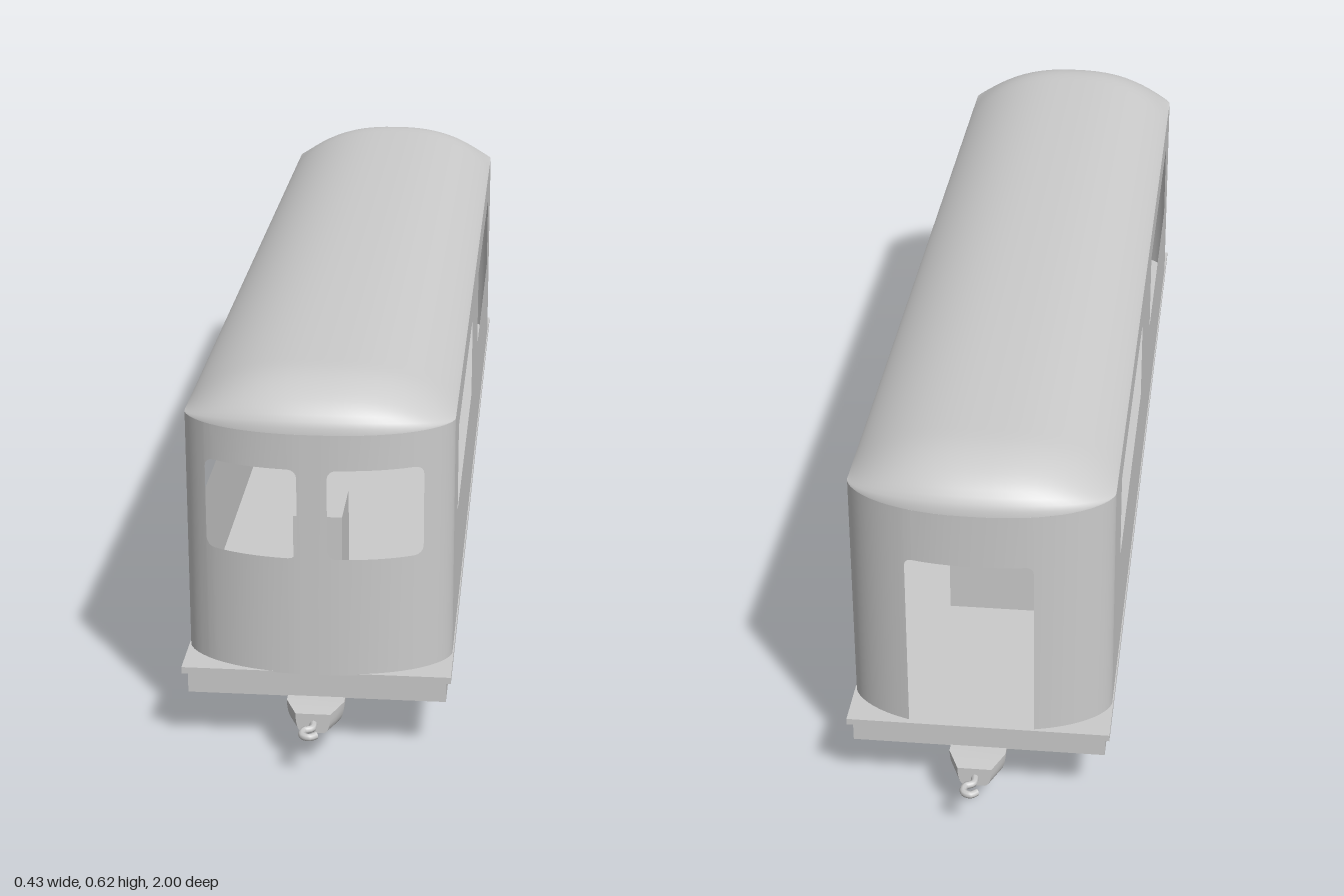
import * as THREE from 'three';
import { mergeVertices, toCreasedNormals } from 'three/addons/utils/BufferGeometryUtils.js';
import { ParametricGeometry } from 'three/addons/geometries/ParametricGeometry.js';

const W = 0.213;        // half width of the body
const WALL_BOTTOM = 0.143, WALL_TOP = 0.55;
const grey = new THREE.MeshStandardMaterial({ color: 0xcccccc });
const thin = new THREE.MeshStandardMaterial({ color: 0xcccccc, side: THREE.DoubleSide });

// bowed end of the floor plan: z of the end wall at a given x
const endZ = (x) => 0.82 + 0.092 * Math.pow(Math.max(0, 1 - Math.pow(Math.abs(x) / W, 2.3)), 0.6);

function add(parent, name, geometry, x = 0, y = 0, z = 0, material = grey) {
  const mesh = new THREE.Mesh(geometry, material);
  mesh.name = name;
  mesh.position.set(x, y, z);
  parent.add(mesh);
  return mesh;
}

function box(parent, name, x0, x1, y0, y1, z0, z1) {
  return add(parent, name, new THREE.BoxGeometry(x1 - x0, y1 - y0, z1 - z0),
    (x0 + x1) / 2, (y0 + y1) / 2, (z0 + z1) / 2);
}

function polygon(points) {
  return new THREE.Shape(points.map(([x, y]) => new THREE.Vector2(x, y)));
}

// outline in (z, y), extruded along x and centred on x = 0
function acrossGeometry(shape, width) {
  const g = new THREE.ExtrudeGeometry(shape, { depth: width, bevelEnabled: false });
  return g.translate(0, 0, -width / 2).rotateY(-Math.PI / 2);
}

// upright wall along a plan line, with rounded openings {a, b, lo, hi, r}
function wallGeometry(at, stations, openings, flip) {
  const s = [...stations];
  for (const o of openings) {
    for (const t of [0, 0.08, 0.3, 0.6, 1]) s.push(o.a + o.r * t, o.b - o.r * t);
  }
  s.sort((p, q) => p - q);
  const pos = [];
  const quad = (p, q, p0, p1, q0, q1) => {
    if (p1 - p0 < 1e-5 && q1 - q0 < 1e-5) return;
    const A = [p[0], p0, p[1]], B = [q[0], q0, q[1]], C = [q[0], q1, q[1]], D = [p[0], p1, p[1]];
    pos.push(...(flip ? [B, A, D, B, D, C] : [A, B, C, A, C, D]).flat());
  };
  for (let i = 0; i + 1 < s.length; i++) {
    if (s[i + 1] - s[i] < 1e-6) continue;
    const mid = (s[i] + s[i + 1]) / 2, p = at(s[i]), q = at(s[i + 1]);
    const o = openings.find((h) => mid > h.a && mid < h.b);
    if (!o) { quad(p, q, WALL_BOTTOM, WALL_TOP, WALL_BOTTOM, WALL_TOP); continue; }
    const inset = (v) => {
      const k = Math.max(0, o.r - Math.min(v - o.a, o.b - v));
      return o.r - Math.sqrt(Math.max(0, o.r * o.r - k * k));
    };
    const c = inset(s[i]), d = inset(s[i + 1]);
    if (o.lo > WALL_BOTTOM) quad(p, q, WALL_BOTTOM, o.lo + c, WALL_BOTTOM, o.lo + d);
    quad(p, q, o.hi - c, WALL_TOP, o.hi - d, WALL_TOP);
  }
  const g = new THREE.BufferGeometry();
  g.setAttribute('position', new THREE.Float32BufferAttribute(pos, 3));
  const merged = mergeVertices(g, 1e-5);
  merged.computeVertexNormals();
  return merged;
}

function createBody() {
  const body = new THREE.Group();
  body.name = 'body';
  const across = Array.from({ length: 33 }, (_, i) => W * Math.sin((i / 16 - 1) * Math.PI / 2));
  const pane = { lo: 0.343, hi: 0.492 };
  const frontWindows = [{ a: -0.175, b: -0.027, r: 0.014, ...pane }, { a: 0.02, b: 0.168, r: 0.014, ...pane }];
  const rearDoor = [{ a: -0.092, b: 0.113, lo: WALL_BOTTOM, hi: 0.458, r: 0.012 }];
  const sideWindows = [{ a: -0.68, b: -0.13, r: 0.008, ...pane }, { a: 0.15, b: 0.7, r: 0.008, ...pane }];
  add(body, 'frontWall', wallGeometry((x) => [x, endZ(x)], across, frontWindows, false), 0, 0, 0, thin);
  add(body, 'rearWall', wallGeometry((x) => [x, -endZ(x)], across, rearDoor, true), 0, 0, 0, thin);
  for (const side of [1, -1]) {
    add(body, side > 0 ? 'leftWall' : 'rightWall',
      wallGeometry((z) => [side * W, z], [-0.82, 0.82], sideWindows, side > 0), 0, 0, 0, thin);
  }

  // arched roof, rounded down to the bowed ends
  const roof = new ParametricGeometry((u, v, target) => {
    const x = W * Math.sin((u - 0.5) * Math.PI);
    const z = -endZ(x) * Math.sin((v - 0.5) * Math.PI);
    const arch = Math.pow(Math.max(0, 1 - Math.pow(Math.abs(x) / W, 2.6)), 0.9);
    const k = Math.max(0, 1 - (endZ(x) - Math.abs(z)) / 0.13);
    target.set(x, WALL_TOP + 0.07 * arch * Math.sqrt(Math.max(0, 1 - k * k)), z);
  }, 28, 60);
  roof.computeVertexNormals();
  add(body, 'roof', roof, 0, 0, 0, thin);

  // interior furniture
  box(body, 'driverSeat', -0.062, 0.02, 0.145, 0.31, 0.55, 0.67);
  box(body, 'centreBench', -0.07, 0.09, 0.145, 0.31, -0.57, -0.155);
  return body;
}

function createUnderframe() {
  const frame = new THREE.Group();
  frame.name = 'underframe';
  box(frame, 'floorPlate', -0.215, 0.215, 0.134, 0.145, -0.908, 0.908);
  box(frame, 'chassis', -0.207, 0.207, 0.095, 0.134, -0.895, 0.895);

  // equipment tray with side brackets
  add(frame, 'equipmentTray',
    acrossGeometry(polygon([[-0.33, 0.096], [-0.25, 0.044], [0.25, 0.044], [0.33, 0.096]]), 0.36));
  for (const side of [1, -1]) {
    for (const z of [-0.235, -0.08, 0.08, 0.235]) {
      const gusset = new THREE.ExtrudeGeometry(
        polygon([[0.175, 0.044], [0.181, 0.044], [0.207, 0.096], [0.175, 0.096]]),
        { depth: 0.014, bevelEnabled: false });
      const mesh = add(frame, 'trayBracket', gusset.translate(0, 0, -0.007), 0, 0, z);
      if (side < 0) mesh.rotation.y = Math.PI;
    }
  }

  // half-round centre sill, tapered at both ends
  const section = new THREE.Shape();
  section.moveTo(-0.046, 0.096);
  section.quadraticCurveTo(-0.046, 0.058, -0.026, 0.057);
  section.lineTo(0.026, 0.057);
  section.quadraticCurveTo(0.046, 0.058, 0.046, 0.096);
  let sill = new THREE.ExtrudeGeometry(section, { depth: 1.9, steps: 95, bevelEnabled: false, curveSegments: 6 });
  sill.translate(0, 0, -0.95);
  const p = sill.attributes.position;
  for (let i = 0; i < p.count; i++) {
    const t = Math.max(0, (Math.abs(p.getZ(i)) - 0.91) / 0.04);
    p.setX(i, p.getX(i) * (1 - 0.4 * t));
    p.setY(i, 0.078 + (p.getY(i) - 0.078) * (1 - 0.15 * t));
  }
  add(frame, 'centreSill', toCreasedNormals(sill, 0.6));

  // coupling hooks
  const path = new THREE.CatmullRomCurve3([[0, 0.94], [0, 0.965], [-0.012, 0.973], [-0.013, 0.988],
    [-0.001, 0.994], [0.009, 0.986]].map(([x, z]) => new THREE.Vector3(x, 0.076, z)));
  for (const end of [0, Math.PI]) {
    const hook = add(frame, 'couplingHook', new THREE.TubeGeometry(path, 20, 0.006, 8));
    hook.rotation.y = end;
  }
  return frame;
}

function createTruck(name, z) {
  const truck = new THREE.Group();
  truck.name = name;
  truck.position.z = z;
  const profile = [[0, -0.012], [0.048, -0.012], [0.048, -0.007], [0.041, -0.002], [0.039, 0.012], [0, 0.012]]
    .map(([r, y]) => new THREE.Vector2(r, y));
  const wheel = toCreasedNormals(new THREE.LatheGeometry(profile, 24), 0.5);
  const frameShape = polygon([[-0.155, 0.045], [-0.13, 0.03], [-0.08, 0.03], [-0.05, 0.04], [0.05, 0.04],
    [0.08, 0.03], [0.13, 0.03], [0.155, 0.045], [0.155, 0.07], [0.14, 0.08], [-0.14, 0.08], [-0.155, 0.07]]);
  for (const side of [1, -1]) {
    add(truck, 'sideFrame', acrossGeometry(frameShape, 0.014), side * 0.115);
    for (const dz of [-0.105, 0.105]) {
      add(truck, 'wheel', wheel, side * 0.095, 0.048, dz).rotation.z = -side * Math.PI / 2;
      add(truck, 'hub', new THREE.CylinderGeometry(0.012, 0.016, 0.012, 12), side * 0.119, 0.052, dz)
        .rotation.z = -side * Math.PI / 2;
    }
  }
  for (const dz of [-0.105, 0.105]) {
    add(truck, 'axle', new THREE.CylinderGeometry(0.008, 0.008, 0.2, 12), 0, 0.048, dz).rotation.z = Math.PI / 2;
  }
  add(truck, 'bolster', new THREE.CylinderGeometry(0.022, 0.022, 0.22, 20), 0, 0.054).rotation.z = Math.PI / 2;
  return truck;
}

export function createModel() {
  const model = new THREE.Group();
  model.name = 'railCar';
  model.add(createBody(), createUnderframe(), createTruck('frontTruck', 0.565), createTruck('rearTruck', -0.555));
  return model;
}
